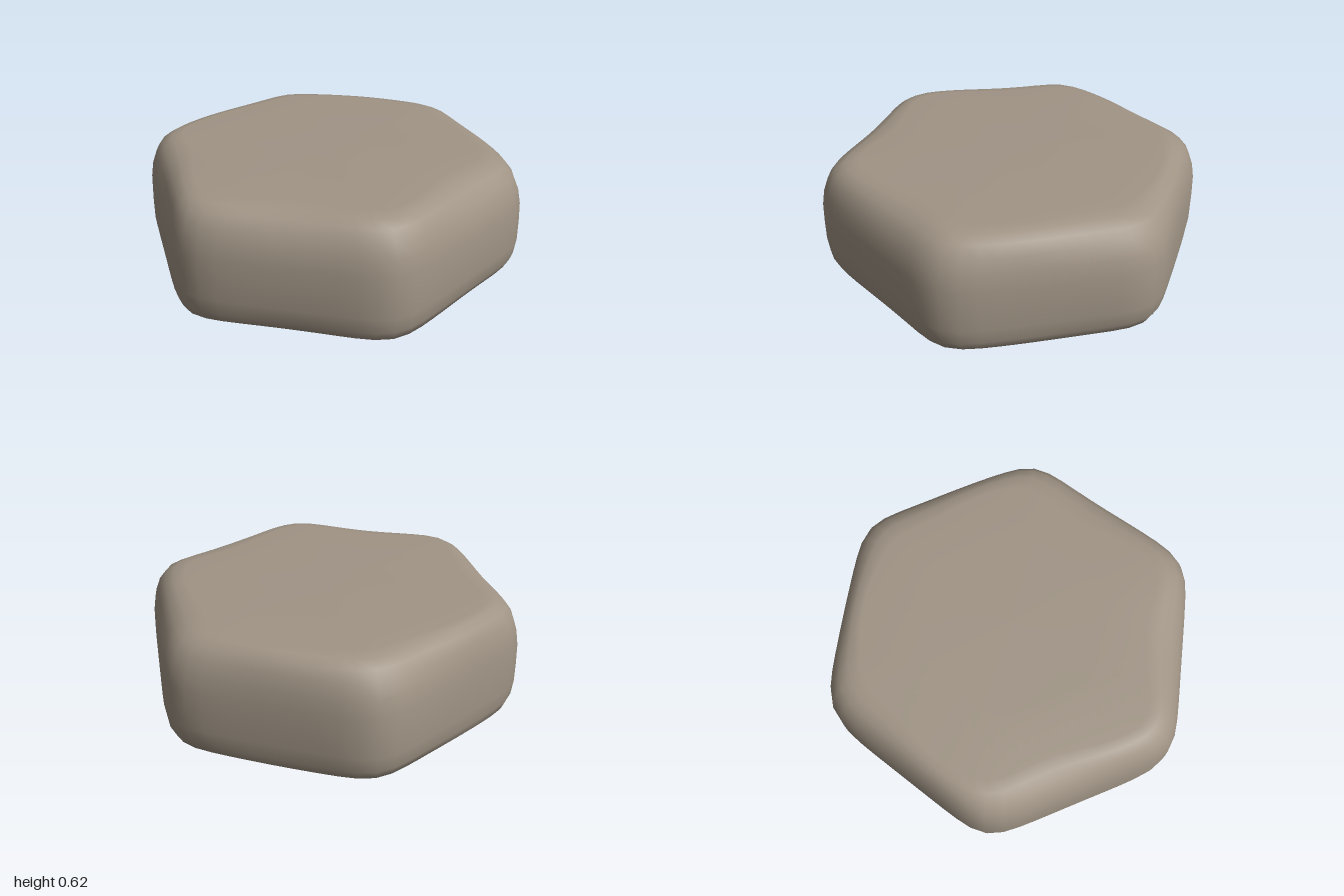
import * as THREE from 'three';
import { mergeVertices } from 'three/addons/utils/BufferGeometryUtils.js';

const SEGMENTS = 72;
const APOTHEM = 0.905;

// Radius of a hexagon with softened corners, pointing along x
function hexRadius(angle) {
  let sum = 0;
  for (let k = 0; k < 6; k++) {
    const c = Math.cos(angle - Math.PI / 6 - (k * Math.PI) / 3);
    sum += Math.pow(Math.max(0, c) / APOTHEM, 16);
  }
  return Math.pow(sum, -1 / 16);
}

// Vertical section as [inset from the outline, height], bottom to top
const PROFILE = [
  [1, 0.005], [0.5, 0.005], [0.2, 0.006], [0.09, 0.015], [0.04, 0.04], [0.012, 0.09],
  [0, 0.17], [0, 0.28], [0.004, 0.38], [0.02, 0.46], [0.05, 0.53], [0.095, 0.58],
  [0.155, 0.607], [0.23, 0.617], [0.5, 0.62], [1, 0.62],
];

function stoneGeometry() {
  const positions = [];
  const indices = [];
  PROFILE.forEach(([inset, y], j) => {
    for (let i = 0; i < SEGMENTS; i++) {
      const a = (i / SEGMENTS) * Math.PI * 2;
      // Worn edges vary gently; the back is a little crisper
      const wear = 0.9 + 0.12 * Math.sin(a) + 0.14 * Math.sin(5 * a + 1);
      const d = inset < 0.3 ? inset * wear : inset;
      const r = hexRadius(a) * (1 - d);
      positions.push(r * Math.cos(a), y, r * Math.sin(a));
      if (j === 0) continue;
      const n = (i + 1) % SEGMENTS;
      const low = (j - 1) * SEGMENTS;
      const high = j * SEGMENTS;
      if (j > 1) indices.push(low + i, high + n, low + n);
      if (j < PROFILE.length - 1) indices.push(low + i, high + i, high + n);
      else indices[indices.length - 2] = high + i;
    }
  });
  const geometry = new THREE.BufferGeometry();
  geometry.setAttribute('position', new THREE.Float32BufferAttribute(positions, 3));
  geometry.setIndex(indices);
  const merged = mergeVertices(geometry, 1e-5);
  merged.computeVertexNormals();
  return merged;
}

export function createModel() {
  const stone = new THREE.MeshStandardMaterial({ color: 0xa09485 });
  stone.name = 'warm grey stone';
  const block = new THREE.Mesh(stoneGeometry(), stone);
  block.name = 'hexagonalStone';
  const group = new THREE.Group();
  group.name = 'hexagonStoneBlock';
  group.add(block);
  return group;
}
